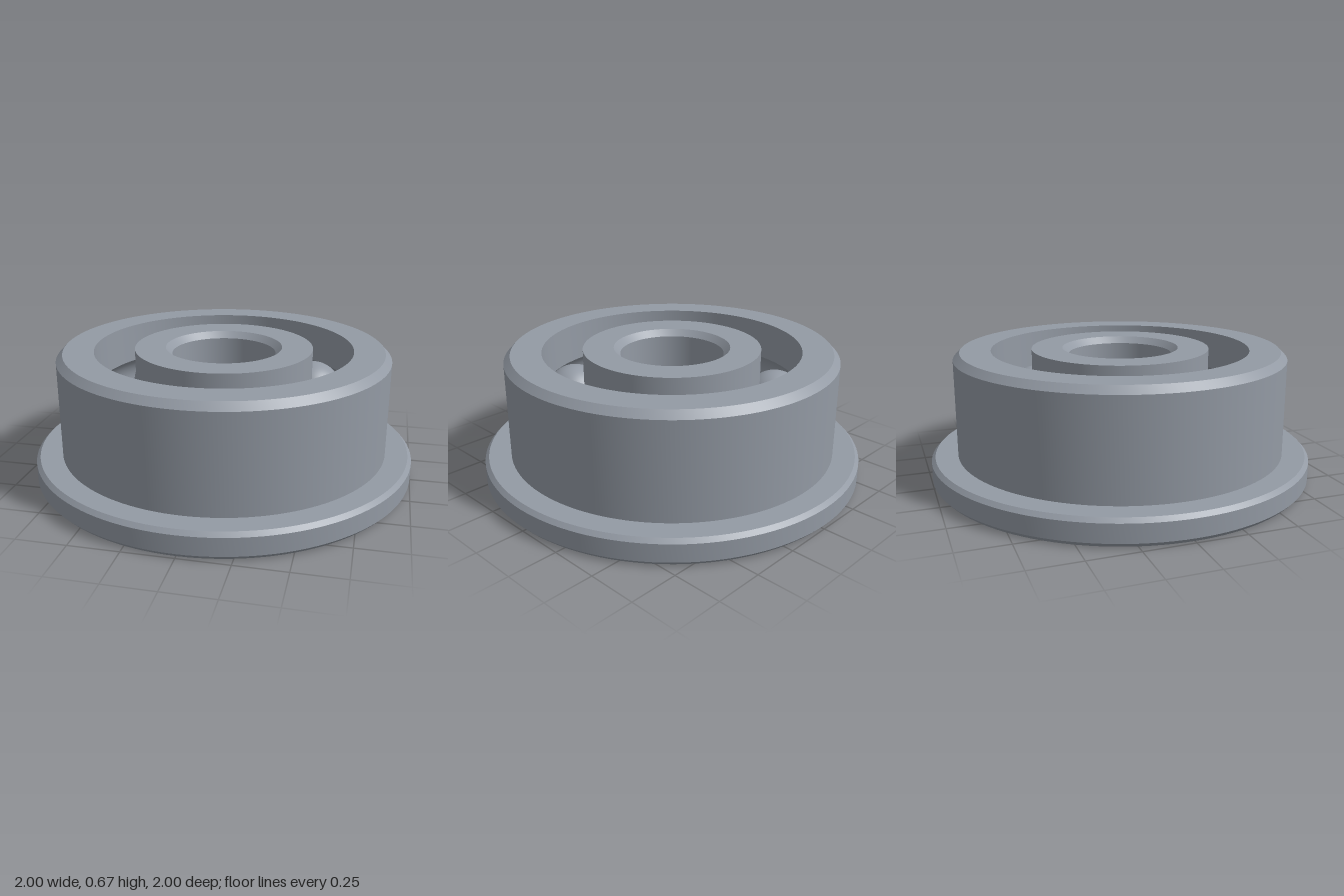
import * as THREE from 'three';
import { toCreasedNormals } from 'three/addons/utils/BufferGeometryUtils.js';

const HEIGHT = 0.67, MID = HEIGHT / 2;
const PITCH = 0.566, BALL_R = 0.165, BALLS = 7;
const OUTER_WALL = 0.672, INNER_WALL = 0.463;

// Circular raceway groove cut into a wall; side +1 = outer ring (runs down), -1 = inner ring (runs up)
function groove(wall, side, steps = 14) {
  const r = BALL_R + 0.001;
  const half = Math.acos(Math.abs(wall - PITCH) / r);
  return Array.from({ length: steps + 1 }, (_, i) => {
    const a = side * half * (1 - (2 * i) / steps);
    return [PITCH + side * r * Math.cos(a), MID + r * Math.sin(a)];
  });
}

// Closed, counter-clockwise (radius, y) profile turned about the y axis
function turnedRing(name, profile, material) {
  const points = [...profile, profile[0]].map(([r, y]) => new THREE.Vector2(r, y));
  const mesh = new THREE.Mesh(toCreasedNormals(new THREE.LatheGeometry(points, 128), 0.4), material);
  mesh.name = name;
  return mesh;
}

export function createModel() {
  const model = new THREE.Group();
  model.name = 'flangedBallBearing';
  const steel = new THREE.MeshStandardMaterial({ color: 0x939aa4 });
  steel.name = 'steel grey';

  // Outer ring with chamfered flange at the base
  model.add(turnedRing('outerRing', [
    [0.98, 0], [1, 0.022], [1, 0.115], [0.98, 0.135],
    [0.864, 0.135], [0.864, 0.635], [0.83, HEIGHT], [OUTER_WALL, HEIGHT],
    ...groove(OUTER_WALL, 1), [OUTER_WALL, 0],
  ], steel));

  // Inner ring with chamfered bore
  model.add(turnedRing('innerRing', [
    [0.303, 0], [INNER_WALL, 0], ...groove(INNER_WALL, -1), [INNER_WALL, HEIGHT],
    [0.303, HEIGHT], [0.27, 0.637], [0.27, 0.033],
  ], steel));

  // Balls spaced evenly between the races
  const balls = new THREE.Group();
  balls.name = 'balls';
  const ballGeometry = new THREE.SphereGeometry(BALL_R, 40, 28);
  for (let i = 0; i < BALLS; i++) {
    const a = THREE.MathUtils.degToRad(-91) + (i * Math.PI * 2) / BALLS;
    const ball = new THREE.Mesh(ballGeometry, steel);
    ball.name = 'ball' + (i + 1);
    ball.position.set(PITCH * Math.cos(a), MID, PITCH * Math.sin(a));
    balls.add(ball);
  }
  model.add(balls);
  return model;
}
